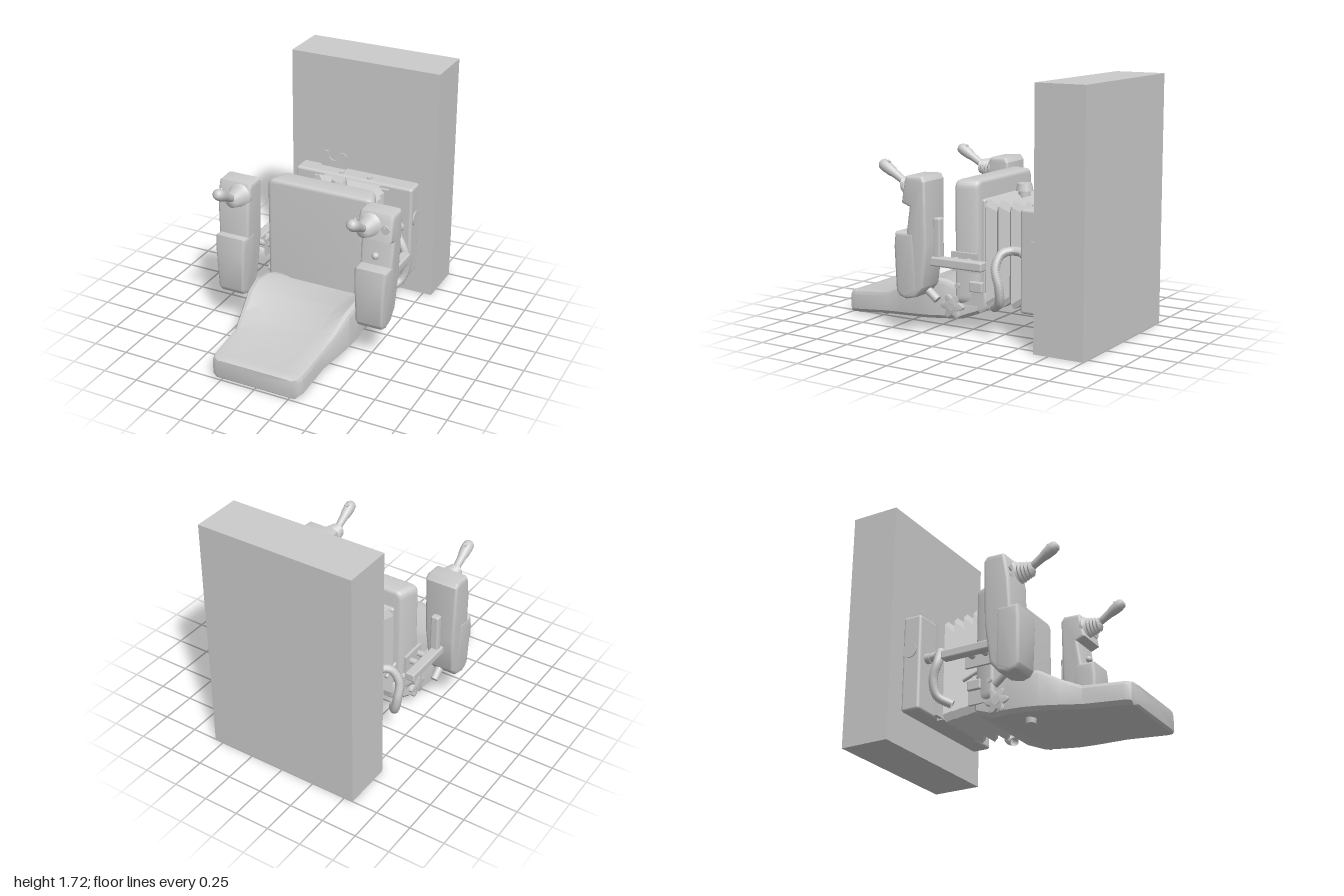
import * as THREE from 'three';
import { toCreasedNormals } from 'three/addons/utils/BufferGeometryUtils.js';
import { RoundedBoxGeometry } from 'three/addons/geometries/RoundedBoxGeometry.js';

const grey = new THREE.MeshStandardMaterial({ color: 0xcccccc, side: THREE.DoubleSide });

function add(parent, name, geometry, x = 0, y = 0, z = 0, rx = 0, ry = 0, rz = 0) {
  const m = new THREE.Mesh(geometry, grey);
  m.name = name;
  m.position.set(x, y, z);
  m.rotation.set(rx, ry, rz);
  parent.add(m);
  return m;
}
const box = (w, h, d) => new THREE.BoxGeometry(w, h, d);
const rbox = (w, h, d, r) => new RoundedBoxGeometry(w, h, d, 3, r);
const cyl = (r1, r2, h, n = 20) => new THREE.CylinderGeometry(r1, r2, h, n);
const vec = (p) => p.map(([x, y]) => new THREE.Vector2(x, y));

// Skin a row of counter-clockwise cross-sections [{z, pts}] ordered by rising z
function loft(sections, crease) {
  const pos = [], idx = [], n = sections[0].pts.length, last = (sections.length - 1) * n;
  sections.forEach(({ z, pts }) => pts.forEach(([x, y]) => pos.push(x, y, z)));
  for (let i = 0; i < sections.length - 1; i++) {
    for (let j = 0; j < n; j++) {
      const a = i * n + j, b = i * n + (j + 1) % n;
      idx.push(a, b, b + n, a, b + n, a + n);
    }
  }
  [[sections[0], 0], [sections.at(-1), last]].forEach(([s, start], end) => {
    const c = pos.length / 3;
    const sum = s.pts.reduce((t, p) => [t[0] + p[0] / n, t[1] + p[1] / n], [0, 0]);
    pos.push(sum[0], sum[1], s.z);
    for (let j = 0; j < n; j++) {
      const a = start + j, b = start + (j + 1) % n;
      idx.push(...(end ? [c, a, b] : [c, b, a]));
    }
  });
  const g = new THREE.BufferGeometry();
  g.setAttribute('position', new THREE.Float32BufferAttribute(pos, 3));
  g.setIndex(idx);
  return toCreasedNormals(g, crease);
}

// Rectangle with cut corners
function octagon(w, y0, y1, c) {
  return [[-w + c, y0], [w - c, y0], [w, y0 + c], [w, y1 - c], [w - c, y1], [-w + c, y1], [-w, y1 - c], [-w, y0 + c]];
}

// Side profile in (z, y), extruded across x with bevelled edges, narrower lower down
function sideSlab(profile, width, bevel) {
  const g = new THREE.ExtrudeGeometry(new THREE.Shape(vec(profile)), {
    depth: width - 2 * bevel, bevelThickness: bevel, bevelSize: bevel, bevelOffset: -bevel, bevelSegments: 3,
  });
  g.translate(0, 0, bevel - width / 2).rotateY(-Math.PI / 2);
  const p = g.attributes.position;
  for (let i = 0; i < p.count; i++) p.setX(i, p.getX(i) * (0.79 + 0.21 * Math.min(1, (p.getY(i) - 0.25) / 0.7)));
  return toCreasedNormals(g, 0.6);
}

function makeBackrest() {
  // z, half width, bottom, middle top, side top
  const rows = [
    [-0.14, 0.3, 0.17, 0.27, 0.28], [-0.1, 0.35, 0.14, 0.28, 0.29], [0.03, 0.37, 0.09, 0.3, 0.31],
    [0.14, 0.39, 0.083, 0.305, 0.35], [0.27, 0.4, 0.072, 0.3, 0.36], [0.38, 0.39, 0.063, 0.28, 0.335],
    [0.52, 0.365, 0.05, 0.225, 0.255], [0.66, 0.336, 0.036, 0.185, 0.195], [0.94, 0.33, 0.011, 0.165, 0.168],
    [0.985, 0.315, 0.006, 0.16, 0.162], [1.0, 0.28, 0.02, 0.15, 0.15],
  ];
  return loft(rows.map(([z, w, b, c, s]) => ({ z, pts: [
    [-w + 0.025, b], [w - 0.025, b], [w, b + 0.025], [w, s - 0.03], [w - 0.012, s - 0.006], [w - 0.04, s],
    [0.6 * w, c], [-0.6 * w, c], [-w + 0.04, s], [-w + 0.012, s - 0.006], [-w, s - 0.03], [-w, b + 0.025],
  ] })), 0.5);
}

function makeCushion() {
  const w = 0.4, y0 = 0.2, y1 = 1.04, r = 0.06;
  const s = new THREE.Shape();
  s.moveTo(-w + r, y0).lineTo(w - r, y0).quadraticCurveTo(w, y0, w, y0 + r).lineTo(w, y1 - r);
  s.quadraticCurveTo(w, y1, w - r, y1).lineTo(-w + r, y1).quadraticCurveTo(-w, y1, -w, y1 - r).lineTo(-w, y0 + r);
  s.quadraticCurveTo(-w, y0, -w + r, y0);
  const g = new THREE.ExtrudeGeometry(s, { depth: 0.11, bevelThickness: 0.025, bevelSize: 0.025, bevelOffset: -0.025, bevelSegments: 4, curveSegments: 6 });
  g.translate(0, 0, -0.08);
  const p = g.attributes.position;
  for (let i = 0; i < p.count; i++) p.setX(i, p.getX(i) * (1 - 0.12 * Math.max(0, (0.03 - p.getZ(i)) / 0.135)));
  return toCreasedNormals(g, 0.6);
}

function makeBellows() {
  const rows = [];
  const folds = 4;
  for (let i = 0; i <= folds * 2; i++) {
    const t = i / (folds * 2), out = i % 2;
    rows.push({ z: -0.45 + 0.35 * t, pts: octagon((out ? 0.265 : 0.2) + 0.07 * t, out ? 0.18 : 0.22, out ? 0.915 : 0.865, 0.04) });
  }
  return loft(rows, 0.1);
}

// Ribbed hose along a curve
function makeHose(points) {
  const n = 110, sides = 12;
  const g = new THREE.TubeGeometry(new THREE.CatmullRomCurve3(points), n, 0.03, sides);
  const p = g.attributes.position, nor = g.attributes.normal;
  for (let i = 0; i < p.count; i++) {
    const d = Math.floor(i / (sides + 1)) % 2 ? -0.005 : 0.002;
    p.setXYZ(i, p.getX(i) + nor.getX(i) * d, p.getY(i) + nor.getY(i) * d, p.getZ(i) + nor.getZ(i) * d);
  }
  g.computeVertexNormals();
  return g;
}

function makeStarKnob() {
  const pts = [];
  for (let i = 0; i < 48; i++) {
    const a = i / 48 * Math.PI * 2, r = 0.066 + 0.018 * Math.cos(a * 6);
    pts.push([r * Math.cos(a), r * Math.sin(a)]);
  }
  const g = new THREE.ExtrudeGeometry(new THREE.Shape(vec(pts)), { depth: 0.02, bevelSize: 0.006, bevelThickness: 0.006, bevelSegments: 2 });
  return toCreasedNormals(g.translate(0, 0, -0.01).rotateY(Math.PI / 2), 0.6);
}

function makeJoystick() {
  const g = new THREE.Group();
  g.name = 'joystick';
  const boot = [[0, 0], [0.085, 0], [0.085, 0.02]];
  for (let i = 0; i < 5; i++) boot.push([0.076 - 0.006 * i, 0.03 + 0.023 * i], [0.06 - 0.006 * i, 0.041 + 0.023 * i]);
  boot.push([0, 0.145]);
  add(g, 'boot', toCreasedNormals(new THREE.LatheGeometry(vec(boot), 28), 0.5), 0, 0, 0, 1.5);
  const grip = [[0, 0], [0.024, 0], [0.027, 0.07], [0.03, 0.12], [0.037, 0.15], [0.041, 0.2], [0.036, 0.235], [0.02, 0.25], [0, 0.252]];
  add(g, 'grip', new THREE.LatheGeometry(vec(grip), 20), 0, 0.01, 0.1, 1.02);
  add(g, 'thumbButton', cyl(0.012, 0.012, 0.02, 12), 0, 0.145, 0.25, -0.55);
  return g;
}

function makeArmrest(s) {
  const g = new THREE.Group();
  g.name = s > 0 ? 'leftArmrest' : 'rightArmrest';
  const x = s * 0.525;
  // the left console has a stepped control recess
  const front = s > 0 ? [[0.312, 0.9], [0.25, 0.875], [0.28, 0.7]] : [[0.312, 0.9], [0.32, 0.7]];
  add(g, 'console', sideSlab([[0.125, 1.05], [0.125, 0.62], [0.16, 0.34], [0.22, 0.27], [0.3, 0.25], [0.33, 0.32],
    ...front.reverse(), [0.285, 1.05], [0.27, 1.08], [0.15, 1.085]], 0.245, 0.022), x);
  add(g, 'lowerCover', sideSlab([[0.22, 0.705], [0.2, 0.3], [0.3, 0.25], [0.35, 0.265], [0.375, 0.3], [0.382, 0.6], [0.37, 0.7]], 0.25, 0.025), x);
  const stick = makeJoystick();
  stick.position.set(s * 0.485, 0.99, 0.27);
  g.add(stick);
  if (s > 0) {
    add(g, 'knob', new THREE.SphereGeometry(0.025, 16, 10), 0.525, 0.77, 0.28);
    add(g, 'keySwitch', cyl(0.03, 0.03, 0.025), 0.6, 0.985, 0.296, Math.PI / 2);
    add(g, 'key', box(0.008, 0.04, 0.02), 0.6, 0.985, 0.312);
  } else {
    for (const y of [0.98, 0.925]) add(g, 'button', cyl(0.022, 0.022, 0.02), -0.6, y, 0.3, Math.PI / 2);
  }
  // support arm, height rail and brackets
  add(g, 'supportArm', rbox(0.07, 0.062, 0.42, 0.012), s * 0.522, 0.51, -0.04);
  add(g, 'heightRail', rbox(0.06, 0.3, 0.05, 0.012), s * 0.51, 0.65, 0.105);
  add(g, 'mountBracket', box(0.02, 0.13, 0.2), s * 0.42, 0.5, -0.04);
  for (const z of [-0.08, 0.02]) add(g, 'pivotPin', cyl(0.022, 0.022, 0.12, 12), s * 0.45, 0.51, z, 0, 0, Math.PI / 2);
  add(g, 'adjusterStub', cyl(0.028, 0.028, 0.09, 14), s * 0.5, 0.27, 0.16, 0.9);
  return g;
}

export function createModel() {
  const model = new THREE.Group();
  model.name = 'operatorSeat';

  // wall and carrier
  add(model, 'wallBlock', box(1.13, 1.72, 0.355), 0, 0.86, -0.8225);
  add(model, 'wallPlate', box(0.66, 0.62, 0.04), 0, 0.56, -0.63);
  add(model, 'baseHousing', rbox(0.91, 0.685, 0.14, 0.02), 0, 0.56, -0.55);
  add(model, 'suspensionPlate', box(0.44, 0.68, 0.05), 0, 0.55, -0.46);
  for (const x of [-0.11, 0.11]) add(model, 'screw', cyl(0.018, 0.018, 0.012, 12), x, 0.905, -0.525);
  const hook = new THREE.Shape(vec([[-0.1, 0], [0.1, 0], [0.1, 0.11], [0.075, 0.13], [0.045, 0.125], [0.04, 0.08],
    [0.01, 0.06], [-0.01, 0.06], [-0.04, 0.08], [-0.045, 0.125], [-0.075, 0.13], [-0.1, 0.11]]));
  add(model, 'hookPlate', new THREE.ExtrudeGeometry(hook, { depth: 0.01, bevelEnabled: false }), -0.2, 0.895, -0.59);

  // suspension
  add(model, 'bellows', makeBellows());
  add(model, 'adjusterKnob', cyl(0.05, 0.062, 0.05, 8), 0, 0.965, -0.25);
  add(model, 'adjusterStem', cyl(0.04, 0.04, 0.12, 16), 0, 0.9, -0.25);

  // seat
  add(model, 'seatCushion', makeCushion());
  add(model, 'seatPan', rbox(0.62, 0.72, 0.06, 0.015), 0, 0.55, -0.1);
  add(model, 'backrest', makeBackrest());
  add(model, 'lumbarKnob', cyl(0.04, 0.034, 0.05, 8), -0.25, 0.062, 0.25);

  for (const s of [-1, 1]) {
    model.add(makeArmrest(s));
    add(model, 'sideCap', cyl(0.055, 0.055, 0.012), s * 0.457, 0.65, -0.56, 0, 0, Math.PI / 2);
    add(model, 'railClip', box(0.07, 0.66, 0.025), s * 0.255, 0.55, -0.455);
    add(model, 'hose', makeHose([[0.37, 0.6, -0.47], [0.375, 0.605, -0.38], [0.43, 0.59, -0.33], [0.485, 0.5, -0.315],
      [0.49, 0.38, -0.345], [0.46, 0.27, -0.33], [0.4, 0.215, -0.25]].map(([x, y, z]) => new THREE.Vector3(s * x, y, z))));
    add(model, 'hoseFitting', cyl(0.036, 0.036, 0.05), s * 0.37, 0.6, -0.47, Math.PI / 2);
    // recliner hinge
    add(model, 'hingePlate', box(0.02, 0.16, 0.2), s * 0.36, 0.28, -0.05);
    add(model, 'hingeBlock', rbox(0.04, 0.07, 0.1, 0.008), s * 0.37, 0.33, -0.1);
    add(model, 'hingePin', cyl(0.018, 0.018, 0.05, 12), s * 0.385, 0.33, 0.03, 0, 0, Math.PI / 2);
    add(model, 'starKnob', makeStarKnob(), s * 0.385, 0.18, 0.08);
    add(model, 'knobHub', cyl(0.03, 0.03, 0.06, 16), s * 0.375, 0.18, 0.08, 0, 0, Math.PI / 2);
  }
  add(model, 'slideLever', cyl(0.013, 0.013, 0.13, 12), -0.32, 0.43, -0.16, Math.PI / 2 - 0.35);
  return model;
}
